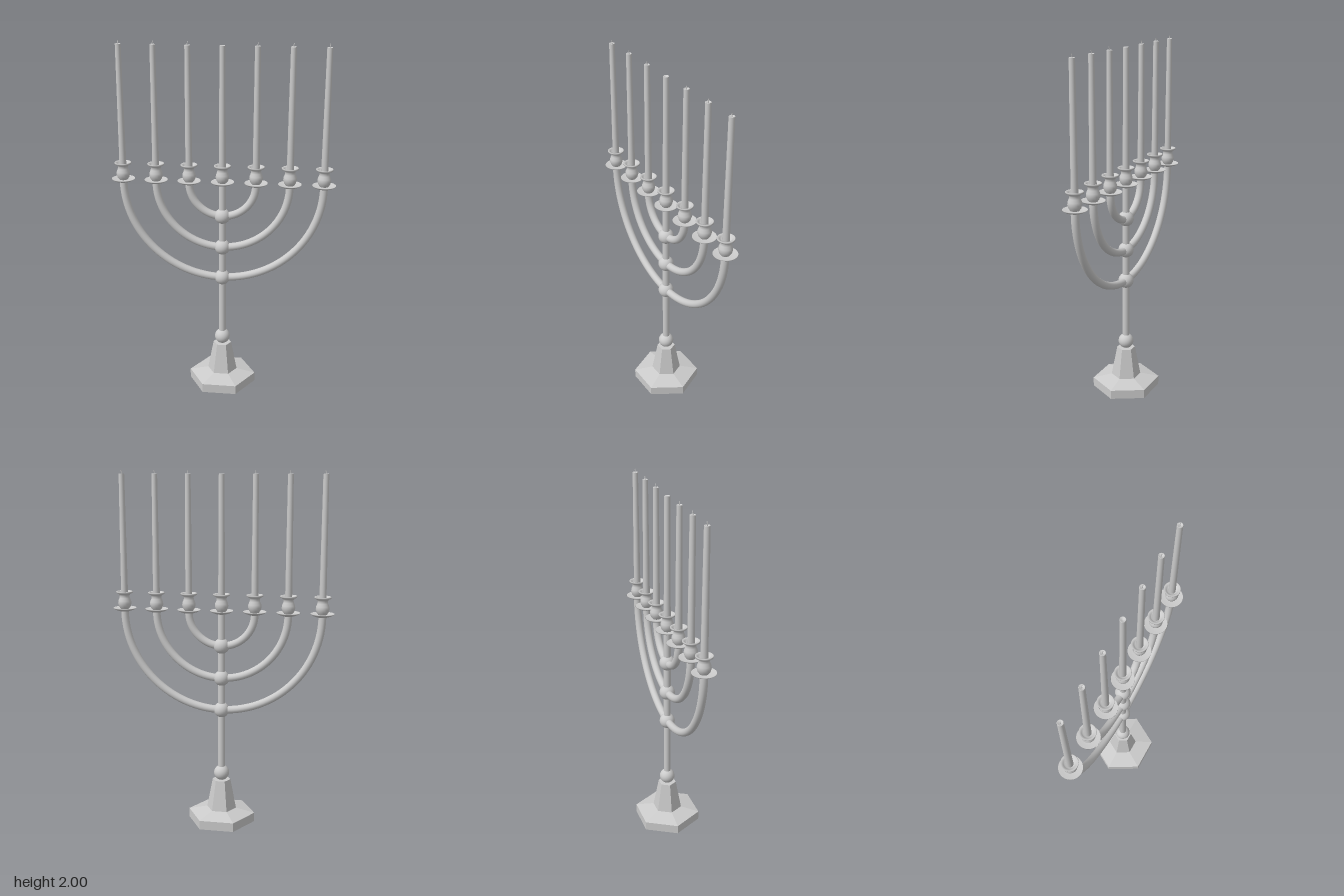
import * as THREE from 'three';

const smooth = new THREE.MeshStandardMaterial({ color: 0xcccccc });
const faceted = new THREE.MeshStandardMaterial({ color: 0xcccccc, flatShading: true });

function add(parent, name, geometry, y = 0, material = smooth) {
  const mesh = new THREE.Mesh(geometry, material);
  mesh.name = name;
  mesh.position.y = y;
  parent.add(mesh);
  return mesh;
}

const points = (list) => list.map(([r, y]) => new THREE.Vector2(r, y));

// Half circle hanging from the cup height, as a curve for the arms
class ArmCurve extends THREE.Curve {
  constructor(radius) {
    super();
    this.radius = radius;
  }
  getPoint(t, target = new THREE.Vector3()) {
    const a = Math.PI * (1 + t);
    return target.set(this.radius * Math.cos(a), this.radius * Math.sin(a), 0);
  }
}

const CUP_Y = 1.225;
const SPACING = 0.1855;

export function createModel() {
  const model = new THREE.Group();
  model.name = 'candelabrum';

  // Six-sided foot with a tapering pedestal, corners pointing along x
  const foot = points([[0, 0], [0.193, 0], [0.193, 0.052], [0.085, 0.076], [0.052, 0.25], [0, 0.25]]);
  add(model, 'base', new THREE.LatheGeometry(foot, 6, Math.PI / 6), 0, faceted);

  // Central stem with knobs
  add(model, 'stem', new THREE.CylinderGeometry(0.02, 0.02, 0.98, 20), 0.74);
  const knob = new THREE.SphereGeometry(0.044, 24, 16);
  add(model, 'baseKnob', knob, 0.29);

  // Nested semicircular arms
  for (let i = 1; i <= 3; i++) {
    const radius = SPACING * i;
    add(model, 'arm' + i, new THREE.TubeGeometry(new ArmCurve(radius), 56, 0.0215, 16), CUP_Y);
    add(model, 'armKnob' + i, knob, CUP_Y - radius);
  }

  // Saucer, vase-shaped socket and candle
  const saucer = new THREE.LatheGeometry(points([
    [0, -0.005], [0.03, -0.003], [0.05, 0.004], [0.065, 0.013], [0.064, 0.016], [0.045, 0.01], [0.02, 0.01],
  ]), 32);
  const socket = new THREE.LatheGeometry(points([
    [0.022, 0.008], [0.032, 0.022], [0.0375, 0.04], [0.036, 0.055], [0.029, 0.072], [0.027, 0.084],
    [0.033, 0.094], [0.046, 0.1], [0.047, 0.107], [0.044, 0.109], [0.032, 0.105], [0.025, 0.09], [0, 0.088],
  ]), 32);
  const candle = new THREE.LatheGeometry(points([
    [0, 0.085], [0.0195, 0.085], [0.0155, 0.756], [0.0155, 0.756], [0.013, 0.758], [0.007, 0.752], [0, 0.751],
  ]), 16);
  const wick = new THREE.TubeGeometry(new THREE.CatmullRomCurve3([
    new THREE.Vector3(0, 0.75, 0), new THREE.Vector3(0, 0.765, 0), new THREE.Vector3(0.003, 0.775, 0),
  ]), 6, 0.0025, 6);

  for (let i = -3; i <= 3; i++) {
    const holder = new THREE.Group();
    holder.name = 'candleHolder' + (i + 4);
    holder.position.set(i * SPACING, CUP_Y, 0);
    add(holder, 'saucer', saucer);
    add(holder, 'socket', socket);
    add(holder, 'candle', candle);
    if (i !== 0) add(holder, 'wick', wick);
    model.add(holder);
  }
  return model;
}
